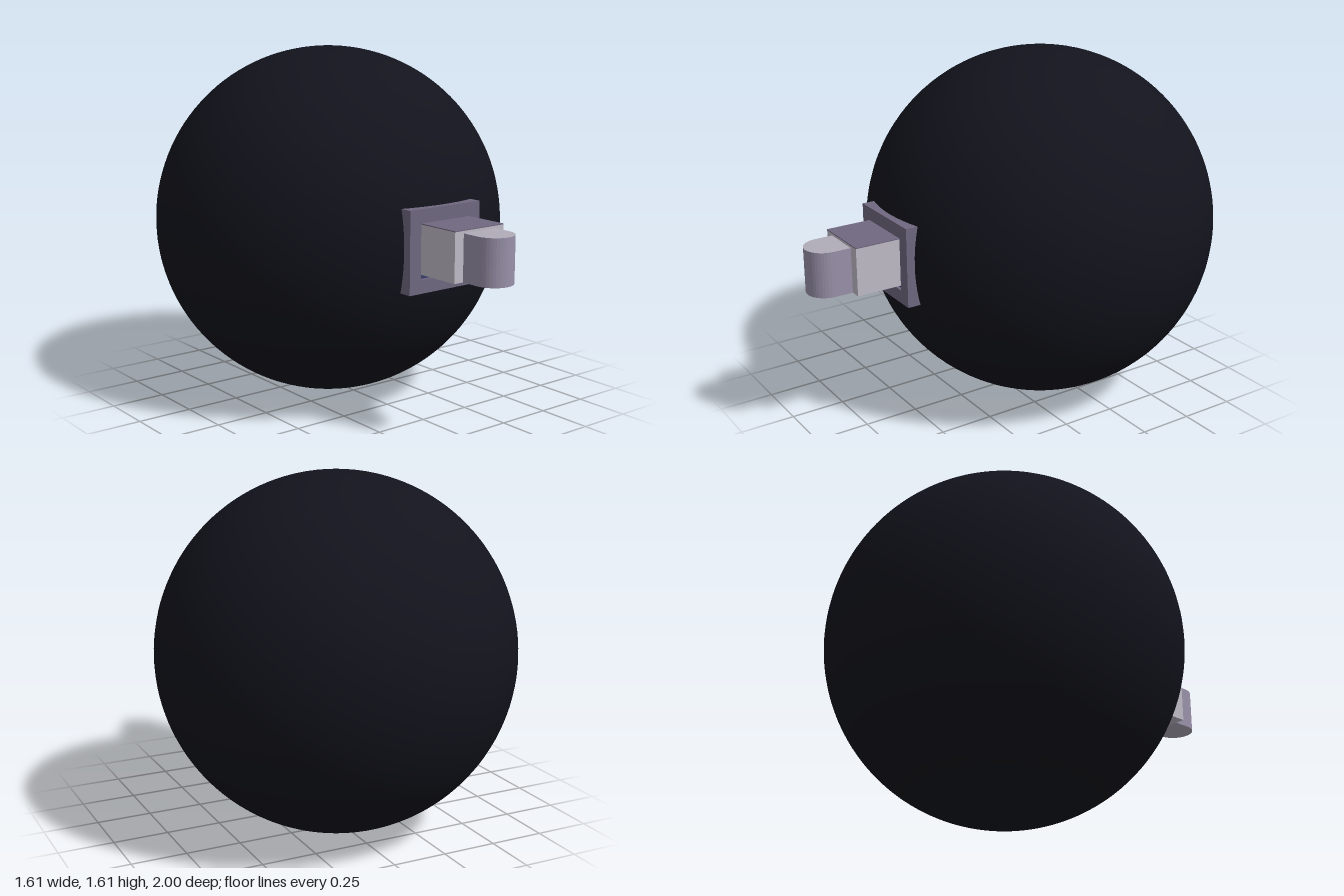
import * as THREE from 'three';

const R = 0.807, CZ = -0.193;

export function createModel() {
  const model = new THREE.Group();
  const mat = (color) => new THREE.MeshStandardMaterial({ color });
  const dark = mat(0x12131c), frameMat = mat(0x6f6880), light = mat(0xc0bcc8);
  const tipMat = mat(0x9a92aa), capMat = mat(0xb0acb8), blue = mat(0x3b3e6c);

  const add = (name, geometry, material, x = 0, y = 0, z = 0, parent = model) => {
    const mesh = new THREE.Mesh(geometry, material);
    mesh.name = name;
    mesh.position.set(x, y, z);
    parent.add(mesh);
    return mesh;
  };
  const box = (name, material, x0, x1, y0, y1, z0, z1, parent) =>
    add(name, new THREE.BoxGeometry(x1 - x0, y1 - y0, z1 - z0), material,
      (x0 + x1) / 2, (y0 + y1) / 2, (z0 + z1) / 2, parent);

  // Round body
  add('ball', new THREE.SphereGeometry(R, 96, 64), dark, 0, R, CZ);

  // Square collar: flat front, back bent to sit on the ball
  const collar = new THREE.Group();
  collar.name = 'collar';
  model.add(collar);
  const bar = (name, x0, x1, y0, y1) => {
    const g = new THREE.BoxGeometry(x1 - x0, y1 - y0, 1, 10, 10, 1);
    g.translate((x0 + x1) / 2, (y0 + y1) / 2, 0);
    const p = g.attributes.position;
    for (let i = 0; i < p.count; i++) {
      const onBall = CZ + Math.sqrt(R * R - p.getX(i) ** 2 - (p.getY(i) - R) ** 2);
      p.setZ(i, p.getZ(i) > 0 ? 0.627 : onBall - 0.002);
    }
    g.computeVertexNormals();
    add(name, g, frameMat, 0, 0, 0, collar);
  };
  bar('collarTop', -0.195, 0.195, 0.92, 0.98);
  bar('collarBottom', -0.195, 0.195, 0.62, 0.68);
  bar('collarRight', -0.195, -0.135, 0.68, 0.92);
  bar('collarLeft', 0.135, 0.195, 0.68, 0.92);

  // Recessed strip below the neck
  box('recessStrip', blue, -0.135, 0.135, 0.68, 0.703, 0.58, 0.612);

  // Square neck with a darker top plate
  box('neck', light, -0.135, 0.135, 0.703, 0.916, 0.58, 0.832);
  box('neckTop', frameMat, -0.135, 0.135, 0.916, 0.92, 0.58, 0.832);

  // Rounded tip: D-shaped outline extruded upward
  const outline = new THREE.Shape();
  outline.moveTo(0.088, -0.8);
  outline.lineTo(0.088, -0.912);
  outline.absarc(0, -0.912, 0.088, 0, -Math.PI, true);
  outline.lineTo(-0.088, -0.8);
  const tip = new THREE.ExtrudeGeometry(outline, { depth: 0.203, bevelEnabled: false, curveSegments: 10 });
  tip.rotateX(-Math.PI / 2);
  add('tip', tip, [capMat, tipMat], 0, 0.703, 0);

  return model;
}
